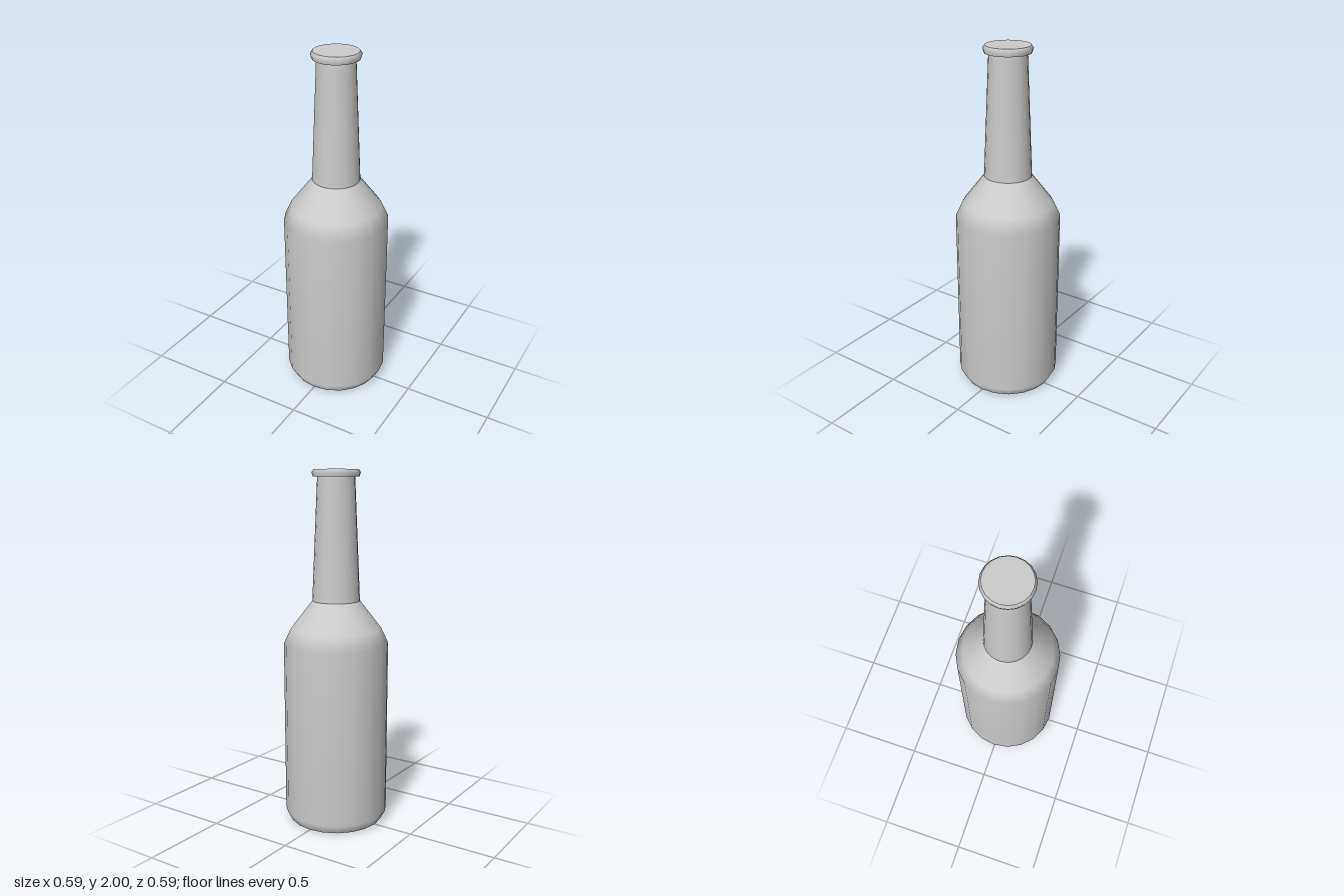
import * as THREE from 'three';

const SIDES = 20;

export function createModel() {
  const bottle = new THREE.Group();
  bottle.name = 'bottle';
  const material = new THREE.MeshStandardMaterial({ color: 0xcccccc });

  // Each section is smooth in itself; separate sections meet at a sharp edge.
  const addSection = (name, profile) => {
    const points = profile.map(([r, y]) => new THREE.Vector2(r, y));
    const mesh = new THREE.Mesh(new THREE.LatheGeometry(points, SIDES), material);
    mesh.name = name;
    bottle.add(mesh);
  };

  // Flat underside
  addSection('base', [[0, 0], [0.267, 0]]);
  // Chamfered foot, straight wall and sloping shoulder
  addSection('body', [[0.267, 0], [0.296, 0.053], [0.296, 1.04], [0.256, 1.125], [0.134, 1.283]]);
  // Tapered neck
  addSection('neck', [[0.134, 1.283], [0.104, 1.96]]);
  // Lip with a ledge underneath and a closed top
  addSection('lipUnderside', [[0.104, 1.96], [0.127, 1.96]]);
  addSection('lip', [[0.127, 1.96], [0.134, 1.984], [0.123, 2]]);
  addSection('lipTop', [[0.123, 2], [0, 2]]);

  return bottle;
}
